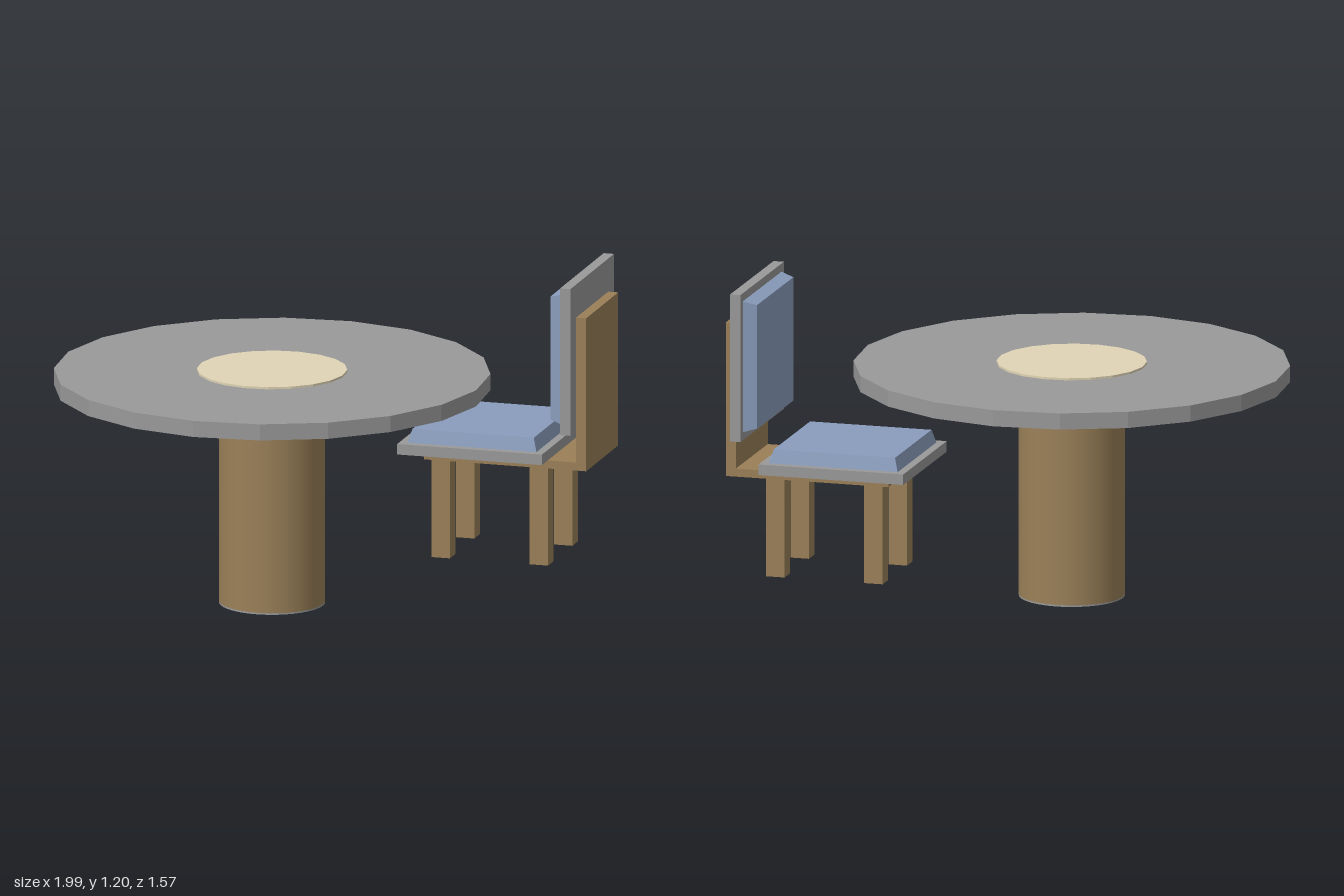
import * as THREE from 'three';

const material = (color, flatShading = true) =>
  new THREE.MeshStandardMaterial({ color, flatShading });
const grey = material(0x999999);
const wood = material(0x9a8058);
const smoothWood = material(0x9a8058, false);
const fabric = material(0x8a9dbd);
const cream = material(0xe0d4b5);

function add(parent, name, geometry, mat, x = 0, y = 0, z = 0) {
  const mesh = new THREE.Mesh(geometry, mat);
  mesh.name = name;
  mesh.position.set(x, y, z);
  parent.add(mesh);
  return mesh;
}

// Box given by its lower and upper corners
function box(parent, name, mat, [x0, y0, z0], [x1, y1, z1]) {
  return add(parent, name, new THREE.BoxGeometry(x1 - x0, y1 - y0, z1 - z0), mat,
    (x0 + x1) / 2, (y0 + y1) / 2, (z0 + z1) / 2);
}

// Upright disc or column between two heights
function disc(parent, name, mat, radius, y0, y1, sides) {
  return add(parent, name, new THREE.CylinderGeometry(radius, radius, y1 - y0, sides), mat,
    0, (y0 + y1) / 2, 0);
}

// Square tray with a tapered cushion on top; the cushion faces +y
function paddedPanel(name) {
  const group = new THREE.Group();
  group.name = name;
  box(group, name + 'Frame', grey, [-0.273, 0, -0.273], [0.273, 0.039, 0.273]);
  const cushion = new THREE.CylinderGeometry(0.229 * Math.SQRT2, 0.243 * Math.SQRT2, 0.049, 4);
  cushion.rotateY(Math.PI / 4);
  add(group, name + 'Cushion', cushion, fabric, 0, 0.0635, 0);
  return group;
}

function createTable() {
  const table = new THREE.Group();
  table.name = 'table';
  disc(table, 'tableFoot', grey, 0.192, 0, 0.006, 40);
  disc(table, 'pedestal', smoothWood, 0.192, 0.006, 0.8, 40);
  disc(table, 'tableTop', grey, 0.79, 0.8, 0.86, 20);
  disc(table, 'tableInlay', cream, 0.272, 0.86, 0.868, 20);
  table.rotation.y = -0.087;
  table.position.x = -0.21;
  return table;
}

// Chair with its back towards local +z
function createChair() {
  const chair = new THREE.Group();
  chair.name = 'chair';
  for (const x of [-0.153, 0.153]) {
    for (const z of [-0.135, 0.235]) {
      box(chair, 'leg', wood, [x - 0.035, 0.145, z - 0.035], [x + 0.035, 0.51, z + 0.035]);
    }
  }
  box(chair, 'seatBoard', wood, [-0.2, 0.51, -0.195], [0.2, 0.54, 0.38]);
  box(chair, 'backBoard', wood, [-0.2, 0.51, 0.38], [0.2, 1.08, 0.418]);

  const seat = paddedPanel('seat');
  seat.position.y = 0.54;
  const back = paddedPanel('back');
  back.rotation.x = -Math.PI / 2;
  back.position.set(0, 0.93, 0.38);
  chair.add(seat, back);

  chair.rotation.y = 0.618;
  chair.position.set(0.55, 0, 0.3125);
  return chair;
}

export function createModel() {
  const model = new THREE.Group();
  model.name = 'tableAndChair';
  model.add(createTable(), createChair());
  return model;
}
